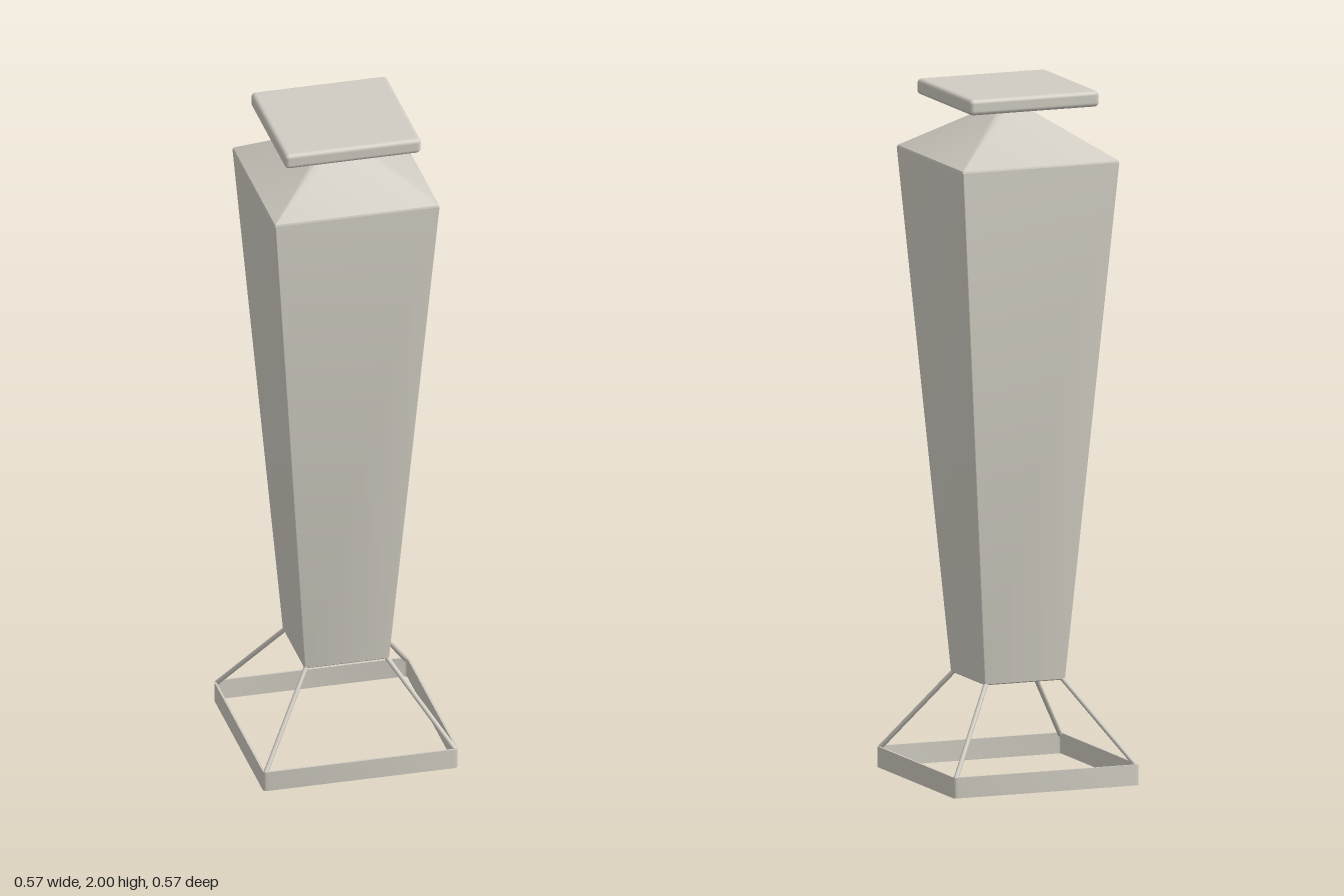
import * as THREE from 'three';
import { toCreasedNormals } from 'three/addons/utils/BufferGeometryUtils.js';
import { RoundedBoxGeometry } from 'three/addons/geometries/RoundedBoxGeometry.js';

// Outline of a square with rounded corners, as [x, z] pairs
function roundedSquare(half, radius, segments = 4) {
  const points = [];
  for (let corner = 0; corner < 4; corner++) {
    const mid = Math.PI / 4 + corner * Math.PI / 2;
    const cx = Math.sign(Math.cos(mid)) * (half - radius);
    const cz = Math.sign(Math.sin(mid)) * (half - radius);
    for (let i = 0; i <= segments; i++) {
      const a = (corner + i / segments) * Math.PI / 2;
      points.push([cx + radius * Math.cos(a), cz + radius * Math.sin(a)]);
    }
  }
  return points;
}

// Closed solid through square sections, each [y, half width, corner radius]
function loft(levels) {
  const positions = [], index = [];
  for (const [y, half, radius] of levels) {
    for (const [x, z] of roundedSquare(half, radius)) positions.push(x, y, z);
  }
  const n = positions.length / 3 / levels.length;
  const last = (levels.length - 1) * n;
  const bottom = positions.length / 3, top = bottom + 1;
  positions.push(0, levels[0][0], 0, 0, levels[levels.length - 1][0], 0);
  for (let j = 0; j < n; j++) {
    const k = (j + 1) % n;
    for (let base = 0; base < last; base += n) {
      index.push(base + j, base + n + j, base + k, base + k, base + n + j, base + n + k);
    }
    index.push(bottom, j, k, top, last + k, last + j);
  }
  const geometry = new THREE.BufferGeometry();
  geometry.setAttribute('position', new THREE.Float32BufferAttribute(positions, 3));
  geometry.setIndex(index);
  return toCreasedNormals(geometry, 0.45);
}

export function createModel() {
  const model = new THREE.Group();
  model.name = 'lidded pedestal vase';
  const stone = new THREE.MeshStandardMaterial({ color: 0xd0ccc2 });
  stone.name = 'warm grey';

  const add = (name, geometry, y = 0) => {
    const mesh = new THREE.Mesh(geometry, stone);
    mesh.name = name;
    mesh.position.y = y;
    model.add(mesh);
    return mesh;
  };

  // Tapered body with sloping shoulders
  add('body', loft([
    [0.29, 0.122, 0.003],
    [0.293, 0.125, 0.004],
    [1.797, 0.243, 0.004],
    [1.803, 0.241, 0.005],
    [1.94, 0.037, 0.02],
  ]));

  // Short neck and flat lid
  add('neck', loft([[1.93, 0.034, 0.02], [1.965, 0.034, 0.02]]));
  add('lid', new RoundedBoxGeometry(0.4, 0.046, 0.4, 4, 0.013), 1.977);

  // Open square base frame
  const toVectors = (half, radius) =>
    roundedSquare(half, radius).map(([x, z]) => new THREE.Vector2(x, z));
  const outline = new THREE.Shape(toVectors(0.287, 0.012));
  outline.holes.push(new THREE.Path(toVectors(0.281, 0.006).reverse()));
  const frame = new THREE.ExtrudeGeometry(outline, { depth: 0.06, bevelEnabled: false });
  frame.rotateX(-Math.PI / 2);
  add('baseFrame', toCreasedNormals(frame, 0.45));

  // Slanted rods from the frame corners to the body corners
  const up = new THREE.Vector3(0, 1, 0);
  for (const sx of [-1, 1]) {
    for (const sz of [-1, 1]) {
      const low = new THREE.Vector3(sx * 0.279, 0.055, sz * 0.279);
      const high = new THREE.Vector3(sx * 0.118, 0.293, sz * 0.118);
      const along = high.clone().sub(low);
      const name = (sz > 0 ? 'front' : 'back') + (sx > 0 ? 'Left' : 'Right') + 'Rod';
      const rod = add(name, new THREE.CylinderGeometry(0.007, 0.007, along.length(), 12));
      rod.position.copy(low).add(high).multiplyScalar(0.5);
      rod.quaternion.setFromUnitVectors(up, along.normalize());
    }
  }
  return model;
}
